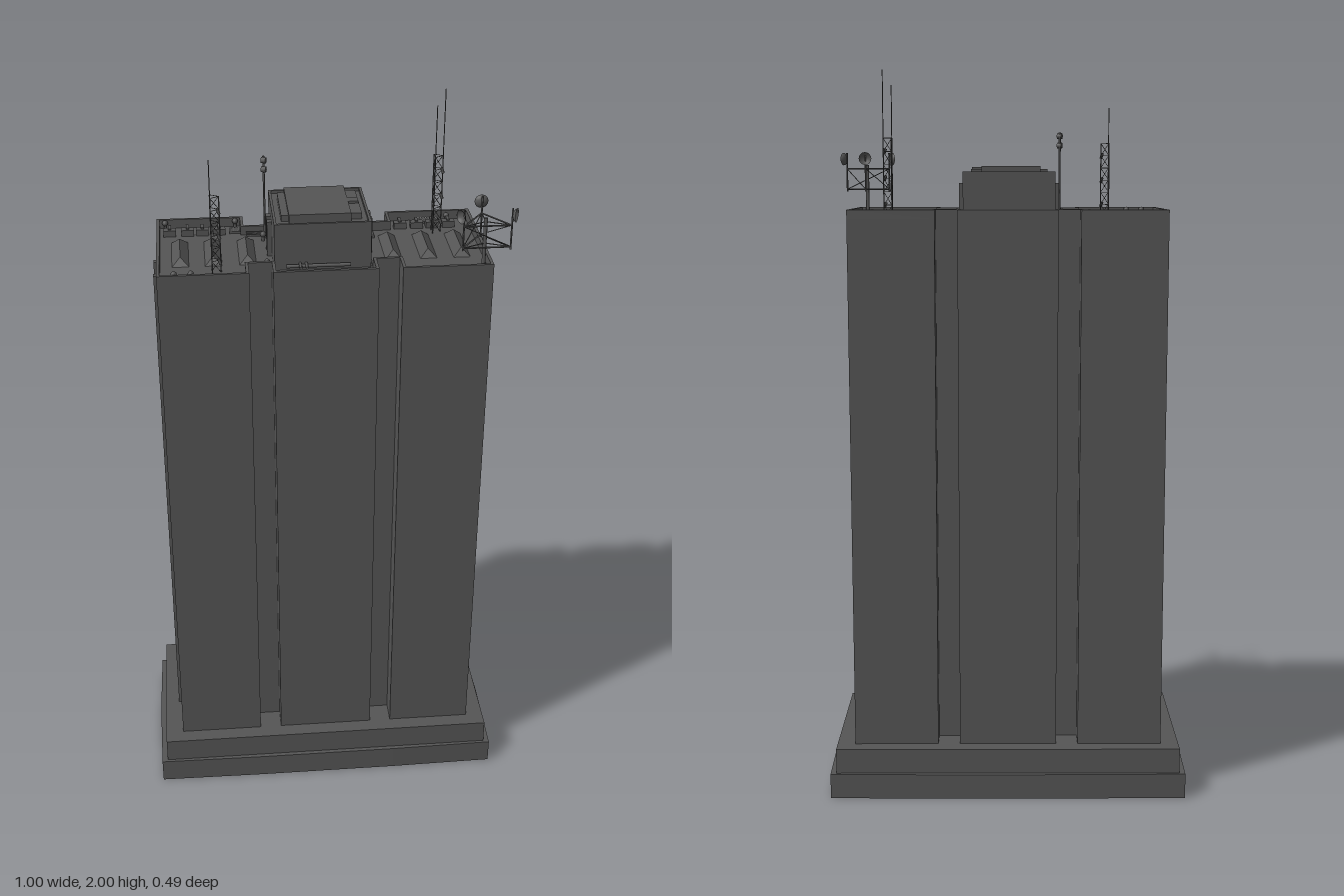
import * as THREE from 'three';

export function createModel() {
  const model = new THREE.Group();
  model.name = 'officeTower';
  const mat = (name, color, extra = {}) => new THREE.MeshStandardMaterial({ name, color, ...extra });
  const concrete = mat('darkGrey', 0x555555, { side: THREE.DoubleSide });
  const light = mat('lightGrey', 0xe4e4e4);
  const ROOF = 1.605, TOP = 1.63;

  const add = (name, geo, parent = model, m = concrete) => {
    const mesh = new THREE.Mesh(geo, m);
    mesh.name = name;
    parent.add(mesh);
    return mesh;
  };
  // Box given by its limits
  const box = (name, x0, x1, y0, y1, z0, z1, parent, m) => {
    const mesh = add(name, new THREE.BoxGeometry(x1 - x0, y1 - y0, z1 - z0), parent, m);
    mesh.position.set((x0 + x1) / 2, (y0 + y1) / 2, (z0 + z1) / 2);
    return mesh;
  };
  // Thin rod between two points
  const rod = (name, a, b, r, parent, sides = 5) => {
    const p = new THREE.Vector3(...a), q = new THREE.Vector3(...b);
    const mesh = add(name, new THREE.CylinderGeometry(r, r, p.distanceTo(q), sides), parent);
    mesh.position.copy(p).add(q).multiplyScalar(0.5);
    mesh.quaternion.setFromUnitVectors(new THREE.Vector3(0, 1, 0), q.sub(p).normalize());
    return mesh;
  };
  const prism = (name, pts, y0, y1, hole, parent) => {
    const shape = new THREE.Shape(pts.map(p => new THREE.Vector2(...p)));
    if (hole) shape.holes.push(new THREE.Path(hole.map(p => new THREE.Vector2(...p))));
    const geo = new THREE.ExtrudeGeometry(shape, { depth: y1 - y0, bevelEnabled: false });
    geo.rotateX(-Math.PI / 2).translate(0, y0, 0);
    return add(name, geo, parent);
  };
  const rect = (x, z) => [[-x, -z], [x, -z], [x, z], [-x, z]];

  // Stepped podium; the lower step bows out slightly
  const bow = [[-0.496, -0.243], [-0.2, -0.247], [0.2, -0.247], [0.496, -0.243], [0.5, 0],
    [0.496, 0.243], [0.2, 0.247], [-0.2, 0.247], [-0.496, 0.243], [-0.5, 0]];
  prism('lowerPodium', bow, 0, 0.07);
  prism('upperPodium', rect(0.48, 0.235), 0.07, 0.14);

  // Tower plan: two wings and a middle bay, parted by recesses
  const plan = d => {
    const q = [[0.43 - d, 0.192 - d], [0.196 + d, 0.192 - d], [0.196 + d, 0.127 - d],
      [0.135 - d, 0.127 - d], [0.135 - d, 0.192 - d]];
    const flip = (pts, sx, sz) => pts.map(([x, z]) => [x * sx, z * sz]);
    const r = [...q].reverse();
    return [...q, ...flip(r, -1, 1), ...flip(q, -1, -1), ...flip(r, 1, -1)];
  };
  prism('towerShaft', plan(0), 0.14, ROOF);
  prism('parapet', plan(0), ROOF, TOP, plan(0.008));
  for (const s of [-1, 1]) for (const z of [-0.045, 0.045])
    box('endFin', s * 0.435 - 0.006, s * 0.435 + 0.006, 0.14, 1.57, z - 0.008, z + 0.008);

  // Rooftop plant house with rim and stepped roof slab
  const house = new THREE.Group();
  house.name = 'plantHouse';
  model.add(house);
  house.position.x = -0.003;
  prism('houseWalls', rect(0.125, 0.123), ROOF, 1.722, null, house);
  prism('houseRim', rect(0.125, 0.123), 1.722, 1.73, rect(0.118, 0.116), house);
  box('roofSlab', -0.104, 0.104, 1.722, 1.738, -0.082, 0.082, house);
  box('roofSlabCentre', -0.085, 0.075, 1.722, 1.745, -0.098, 0.098, house);
  box('roofHatch', 0.072, 0.102, 1.735, 1.744, -0.014, 0.014, house);
  for (const s of [-1, 1]) for (const z of [-0.02, 0.02])
    box('sideLouvre', s * 0.131 - 0.007, s * 0.131 + 0.007, ROOF, 1.70, z - 0.01, z + 0.01, house);

  // Hipped skylights
  const skylight = (x, w, l, h, e) => {
    const v = [[-w, 0, -l], [w, 0, -l], [w, 0, l], [-w, 0, l], [0, h, -l + e], [0, h, l - e]];
    const f = [0, 4, 1, 1, 4, 5, 1, 5, 2, 2, 5, 3, 3, 5, 4, 3, 4, 0];
    const geo = new THREE.BufferGeometry();
    geo.setAttribute('position', new THREE.Float32BufferAttribute(f.flatMap(i => v[i]), 3));
    geo.computeVertexNormals();
    add('skylight', geo).position.set(x, ROOF, 0);
  };
  for (const x of [-0.369, -0.283, -0.194, 0.187, 0.279, 0.367]) skylight(x, 0.022, 0.081, 0.02, 0.02);

  // Air handling units
  for (const x of [-0.395, -0.347, -0.307, -0.262, 0.231, 0.277, 0.319, 0.364]) {
    box('airUnit', x - 0.017, x + 0.017, ROOF, 1.622, -0.145, -0.123);
    box('airUnitDuct', x - 0.004, x + 0.004, ROOF, 1.626, -0.155, -0.13);
  }

  // Mushroom vents
  for (const [x, z] of [[-0.407, -0.175], [-0.217, -0.175], [-0.386, 0.167], [-0.343, 0.167],
    [-0.146, 0.109], [-0.146, -0.075], [0.138, -0.113], [0.364, -0.165], [0.401, -0.165]]) {
    rod('ventPipe', [x, ROOF, z], [x, 1.622, z], 0.004);
    const cap = add('ventCap', new THREE.SphereGeometry(0.008, 10, 6));
    cap.position.set(x, 1.624, z);
  }

  // Pale dotted gratings: x, z, columns, rows
  for (const [x, z, nx, nz] of [[-0.219, -0.146, 4, 4], [0.31, -0.171, 9, 4], [0.14, -0.083, 4, 4],
    [0.14, 0.104, 4, 4], [-0.243, 0.167, 9, 4], [0.22, 0.167, 4, 4]]) {
    const grate = new THREE.Group();
    grate.name = 'grating';
    grate.position.set(x, ROOF, z);
    model.add(grate);
    box('gratingBase', -nx * 0.0036, nx * 0.0036, 0, 0.006, -nz * 0.0036, nz * 0.0036, grate);
    for (let i = 0; i < nx; i++) for (let j = 0; j < nz; j++) {
      const u = (i - (nx - 1) / 2) * 0.007, w = (j - (nz - 1) / 2) * 0.007;
      box('gratingDot', u - 0.0012, u + 0.0012, 0.006, 0.008, w - 0.0012, w + 0.0012, grate, light);
    }
  }

  // Pipe runs beside the plant house
  rod('frontPipe', [-0.098, 1.62, 0.135], [0.068, 1.62, 0.135], 0.005, model, 8);
  for (const x of [-0.062, -0.046]) rod('crossPipe', [x, 1.622, 0.12], [x, 1.622, 0.156], 0.004, model, 8);
  for (const z of [-0.11, -0.1, -0.09]) rod('backPipe', [-0.19, 1.615, z], [-0.13, 1.615, z], 0.003, model, 6);

  // Triangular lattice masts with whip aerials
  const mast = (x, z, height, whips) => {
    const g = new THREE.Group();
    g.name = 'latticeMast';
    g.position.set(x, ROOF, z);
    model.add(g);
    const corner = (i, y) => {
      const a = i * Math.PI * 2 / 3;
      return [0.015 * Math.cos(a), y, 0.015 * Math.sin(a)];
    };
    const steps = 6, dy = height / steps;
    for (let i = 0; i < 3; i++) {
      rod('mastLeg', corner(i, 0), corner(i, height), 0.0016, g);
      for (let k = 1; k <= steps; k++) {
        rod('mastRing', corner(i, k * dy), corner(i + 1, k * dy), 0.001, g, 4);
        rod('mastBrace', corner(i, (k - 1) * dy), corner(i + 1, k * dy), 0.0008, g, 4);
      }
    }
    for (const [i, top] of whips) rod('whipAerial', corner(i, height * 0.5), corner(i, top - ROOF), 0.0013, g);
    for (const k of [1, 3, 5]) {
      const drum = rod('mastAerial', [0.012, k * dy - 0.008, 0.013], [0.012, k * dy + 0.008, 0.013], 0.004, g, 8);
      drum.rotation.z = 0.3;
    }
  };
  mast(-0.28, 0.12, 0.205, [[1, 1.91]]);
  mast(0.322, -0.097, 0.215, [[0, 2.0], [1, 1.96]]);

  // Slim pole with two small drums
  rod('slimPole', [-0.14, ROOF, -0.095], [-0.14, 1.835, -0.095], 0.003);
  for (const y of [1.8, 1.825]) rod('poleDrum', [-0.146, y, -0.092], [-0.134, y, -0.088], 0.008, model, 10);

  // Triangular dish frame on a post
  const frame = new THREE.Group();
  frame.name = 'dishFrame';
  frame.position.set(0.405, 0, 0.174);
  model.add(frame);
  rod('post', [0, ROOF, 0], [0, 1.75, 0], 0.005, frame, 8);
  const bowl = new THREE.LatheGeometry([[0, 0], [0.009, 0.002], [0.015, 0.006], [0.018, 0.011]]
    .map(p => new THREE.Vector2(...p)), 16).rotateX(Math.PI / 2);
  const ends = [[0, -0.058], [0.061, 0.029], [-0.061, 0.029]];
  ends.forEach(([x, z], i) => {
    const [u, w] = ends[(i + 1) % 3];
    for (const y of [1.682, 1.74]) {
      rod('frameBar', [x, y, z], [u, y, w], 0.0022, frame);
      rod('frameArm', [0, y, 0], [x, y, z], 0.0015, frame);
    }
    rod('frameBrace', [x, 1.682, z], [u, 1.74, w], 0.0012, frame, 4);
    rod('dishPost', [x, 1.675, z], [x, 1.785, z], 0.0025, frame);
    const dish = add('dish', bowl, frame);
    dish.position.set(x, 1.768, z);
    dish.rotation.y = Math.atan2(x, z);
  });

  return model;
}
